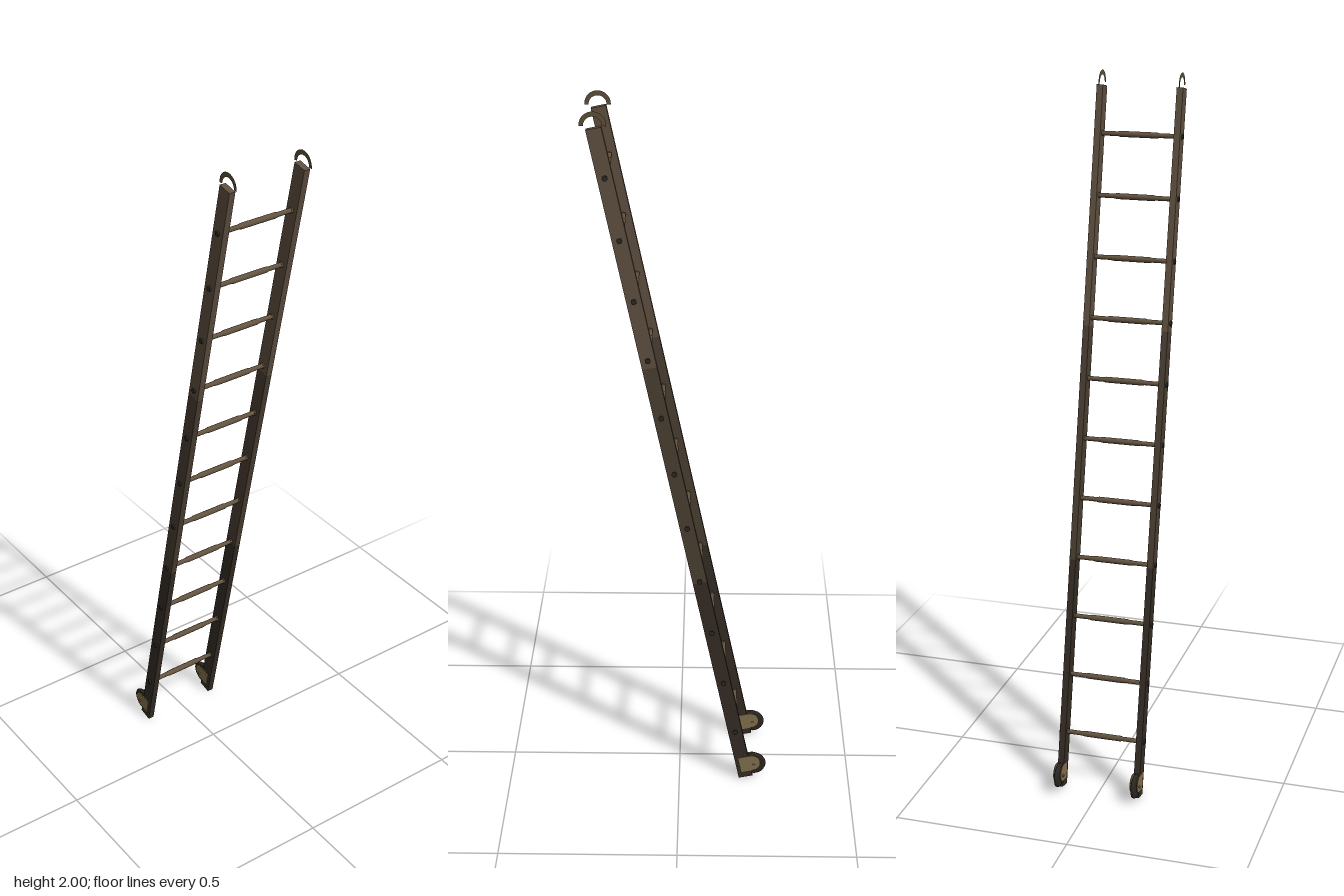
import * as THREE from 'three';

const TILT = 0.209, LENGTH = 1.998, RAIL_X = 0.114;

function mat(color, side = THREE.FrontSide) {
  const m = new THREE.MeshStandardMaterial({ side });
  m.color.set(color);
  return m;
}
const woodShades = [0x352d25, 0x4a3e32, 0x5f5040].map((c) => mat(c));
const rungWood = mat(0x63533f);
const iron = mat(0x2b2722);
const brass = mat(0x82704c);
const hookMetal = mat(0x5e5138, THREE.DoubleSide);

function add(parent, name, geometry, material, x = 0, y = 0, z = 0) {
  const mesh = new THREE.Mesh(geometry, material);
  mesh.name = name;
  mesh.position.set(x, y, z);
  parent.add(mesh);
  return mesh;
}

// Flat crescent hook, opening downward
function hookGeometry() {
  const s = new THREE.Shape();
  s.absarc(0, 0, 0.035, -0.08, Math.PI + 0.08, false);
  s.absarc(0, -0.002, 0.024, Math.PI, 0, true);
  return new THREE.ShapeGeometry(s, 20).rotateY(-Math.PI / 2);
}

// Fork cheek: straight on the rail side, rounded at the back
function cheekGeometry() {
  const s = new THREE.Shape();
  s.moveTo(0.036, -0.025);
  s.lineTo(0.036, 0.025);
  s.lineTo(0, 0.025);
  s.absarc(0, 0, 0.025, Math.PI / 2, Math.PI * 1.5, false);
  s.closePath();
  return new THREE.ExtrudeGeometry(s, { depth: 0.002, bevelEnabled: false, curveSegments: 10 })
    .translate(0, 0, -0.001).rotateY(-Math.PI / 2);
}

// Rung turned along x, a little thicker in the middle
function rungGeometry() {
  const profile = [[0, -0.124], [0.0065, -0.124], [0.0065, -0.06], [0.0082, -0.052],
    [0.0082, 0.052], [0.0065, 0.06], [0.0065, 0.124], [0, 0.124]];
  return new THREE.LatheGeometry(profile.map(([r, y]) => new THREE.Vector2(r, y)), 12)
    .rotateZ(Math.PI / 2);
}

export function createModel() {
  const model = new THREE.Group();
  model.name = 'ladder';

  // Leaning frame, built upright around its middle
  const frame = new THREE.Group();
  frame.name = 'leaningFrame';
  frame.position.set(0, 0.981, 0.0105);
  frame.rotation.x = TILT;
  model.add(frame);

  // Rungs with iron pegs at both ends
  const rung = rungGeometry();
  const peg = new THREE.CylinderGeometry(0.007, 0.008, 0.006, 8).rotateZ(Math.PI / 2);
  const collar = new THREE.CylinderGeometry(0.008, 0.008, 0.006, 10).rotateZ(Math.PI / 2);
  for (let i = 0; i < 11; i++) {
    const y = (0.16 + i * 0.167 - 0.981) / Math.cos(TILT);
    add(frame, 'rung', rung, rungWood, 0, y);
    for (const side of [-1, 1]) {
      add(frame, 'rungPeg', peg, iron, side * 0.1245, y);
      add(frame, 'rungCollar', collar, rungWood, side * 0.104, y);
    }
  }

  const railPiece = new THREE.BoxGeometry(0.018, LENGTH / 3, 0.041);
  const hook = hookGeometry();
  const cheek = cheekGeometry();
  const tyre = new THREE.LatheGeometry(
    [[0, -0.006], [0.029, -0.006], [0.0335, -0.004], [0.035, 0], [0.0335, 0.004], [0.029, 0.006], [0, 0.006]]
      .map(([r, y]) => new THREE.Vector2(r, y)), 28).rotateZ(Math.PI / 2);
  const axle = new THREE.CylinderGeometry(0.004, 0.004, 0.03, 10).rotateZ(Math.PI / 2);

  for (const side of [-1, 1]) {
    const x = side * RAIL_X;

    // Rail, darker toward the foot
    woodShades.forEach((shade, i) => add(frame, 'rail', railPiece, shade, x, (i - 1) * LENGTH / 3));

    // Hook over the rail top
    add(model, 'hook', hook, hookMetal, x, 1.965, 0.22);

    // Wheel held by a fork at the foot
    const caster = new THREE.Group();
    caster.name = 'footWheel';
    caster.position.set(x, 0.047, -0.2205);
    model.add(caster);
    add(caster, 'wheel', tyre, iron);
    add(caster, 'axle', axle, brass);
    for (const s of [-1, 1]) {
      const plate = add(caster, 'forkCheek', cheek, brass, s * 0.0105, 0.006, 0.006);
      plate.rotation.x = TILT;
    }
  }
  return model;
}
